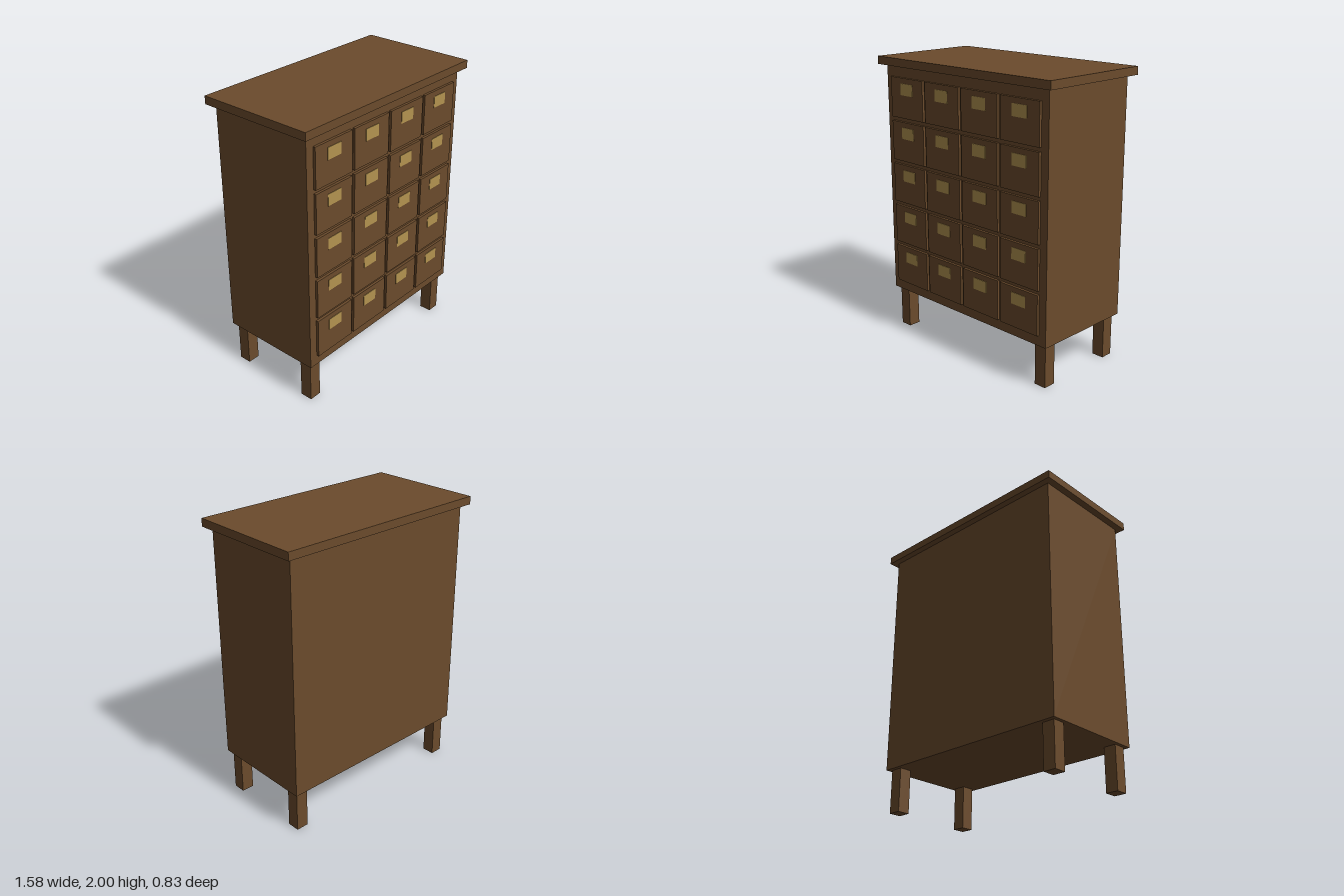
import * as THREE from 'three';

export function createModel() {
  const wood = new THREE.MeshStandardMaterial({ name: 'wood', color: 0x6b4b2c });
  const brass = new THREE.MeshStandardMaterial({ name: 'brass', color: 0xb39350 });

  const cabinet = new THREE.Group();
  cabinet.name = 'drawerCabinet';

  const addBox = (parent, name, material, size, position) => {
    const mesh = new THREE.Mesh(new THREE.BoxGeometry(...size), material);
    mesh.name = name;
    mesh.position.set(...position);
    parent.add(mesh);
    return mesh;
  };

  // Carcass and overhanging top
  const frontZ = 0.373;
  addBox(cabinet, 'body', wood, [1.488, 1.645, frontZ * 2], [0, 1.1225, 0]);
  addBox(cabinet, 'top', wood, [1.58, 0.055, 0.834], [0, 1.9725, 0]);

  // Four square legs, set in from the corners
  for (const x of [-1, 1]) {
    for (const z of [-1, 1]) {
      const name = (z > 0 ? 'front' : 'back') + (x > 0 ? 'Left' : 'Right') + 'Leg';
      addBox(cabinet, name, wood, [0.088, 0.3, 0.088], [x * 0.674, 0.15, z * 0.299]);
    }
  }

  // Grid of drawers, each with a thin brass label plate
  const columns = 4, rows = 5;
  const drawerDepth = 0.018, plateDepth = 0.003;
  for (let row = 0; row < rows; row++) {
    for (let column = 0; column < columns; column++) {
      const drawer = new THREE.Group();
      drawer.name = `drawer${row + 1}_${column + 1}`;
      drawer.position.set((column - (columns - 1) / 2) * 0.349, 0.511 + row * 0.3045, frontZ);
      addBox(drawer, 'drawerFront', wood, [0.325, 0.277, drawerDepth], [0, 0, drawerDepth / 2]);
      addBox(drawer, 'labelPlate', brass, [0.12, 0.08, plateDepth],
        [0, 0.061, drawerDepth + plateDepth / 2]);
      cabinet.add(drawer);
    }
  }

  return cabinet;
}
